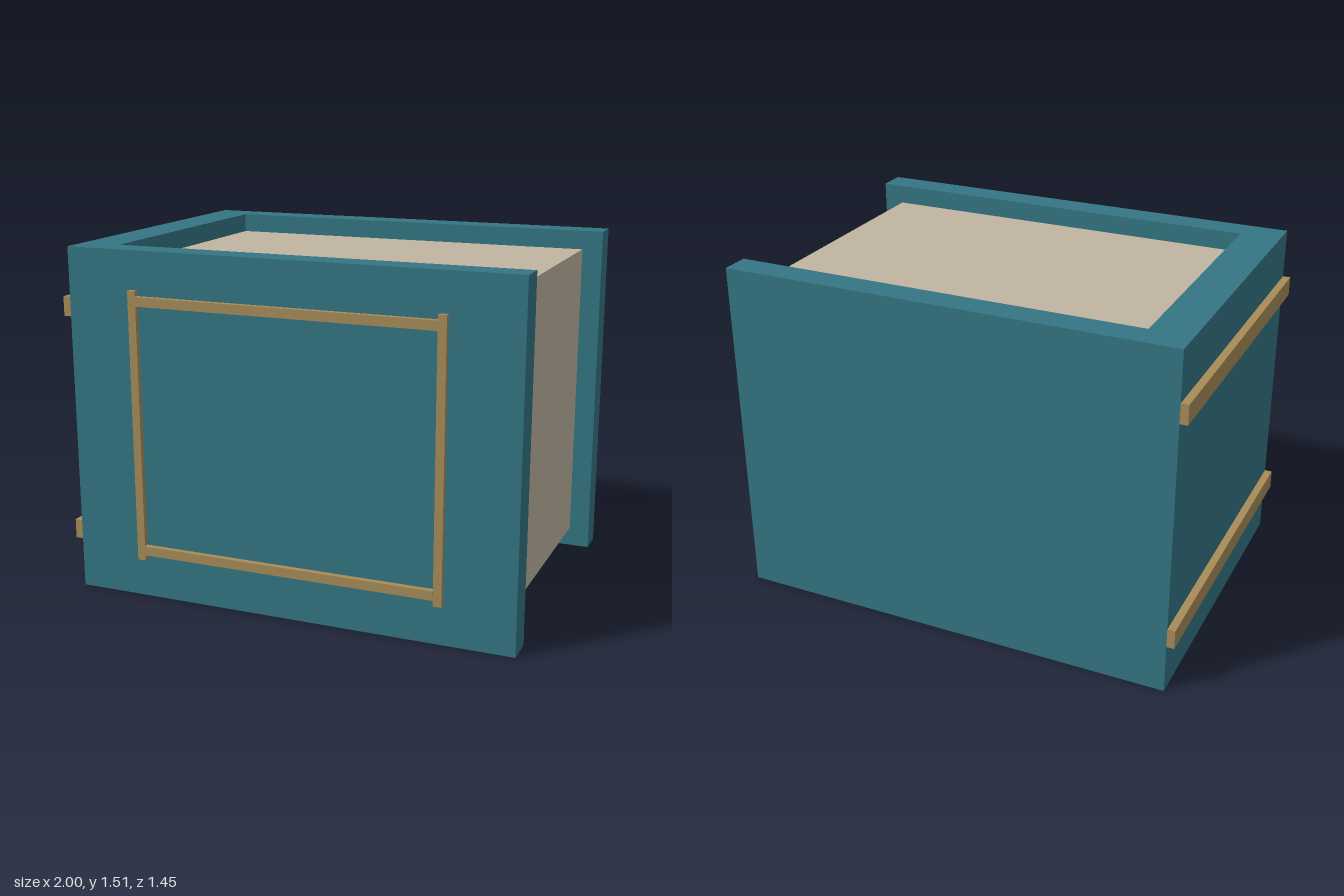
import * as THREE from 'three';

export function createModel() {
  const group = new THREE.Group();
  const mat = (name, color) => {
    const m = new THREE.MeshStandardMaterial({ color });
    m.name = name;
    return m;
  };
  const teal = mat('teal cover', 0x347582);
  const paper = mat('cream paper', 0xc0b4a0);
  const gold = mat('dull gold trim', 0xa88c58);

  // Box given by its lower and upper corners
  const box = (name, material, [x0, y0, z0], [x1, y1, z1]) => {
    const mesh = new THREE.Mesh(new THREE.BoxGeometry(x1 - x0, y1 - y0, z1 - z0), material);
    mesh.position.set((x0 + x1) / 2, (y0 + y1) / 2, (z0 + z1) / 2);
    mesh.name = name;
    group.add(mesh);
  };

  // Book covers, spine and page block
  box('frontCover', teal, [-0.967, 0, 0.577], [1, 1.508, 0.7]);
  box('backCover', teal, [-0.967, 0, -0.725], [1, 1.508, -0.602]);
  box('spine', teal, [-0.967, 0, -0.602], [-0.79, 1.508, 0.577]);
  box('pages', paper, [-0.79, 0.086, -0.602], [0.91, 1.424, 0.577]);

  // Raised bands across the spine
  for (const y of [0.26, 1.253])
    box('spineBand', gold, [-1, y - 0.042, -0.725], [-0.967, y + 0.042, 0.7]);

  // Trim frame on the front cover
  for (const x of [-0.657, 0.682])
    box('frameUpright', gold, [x - 0.018, 0.17, 0.7], [x + 0.018, 1.343, 0.722]);
  for (const y of [0.215, 1.3])
    box('frameRail', gold, [-0.639, y - 0.02, 0.7], [0.664, y + 0.02, 0.725]);

  return group;
}
